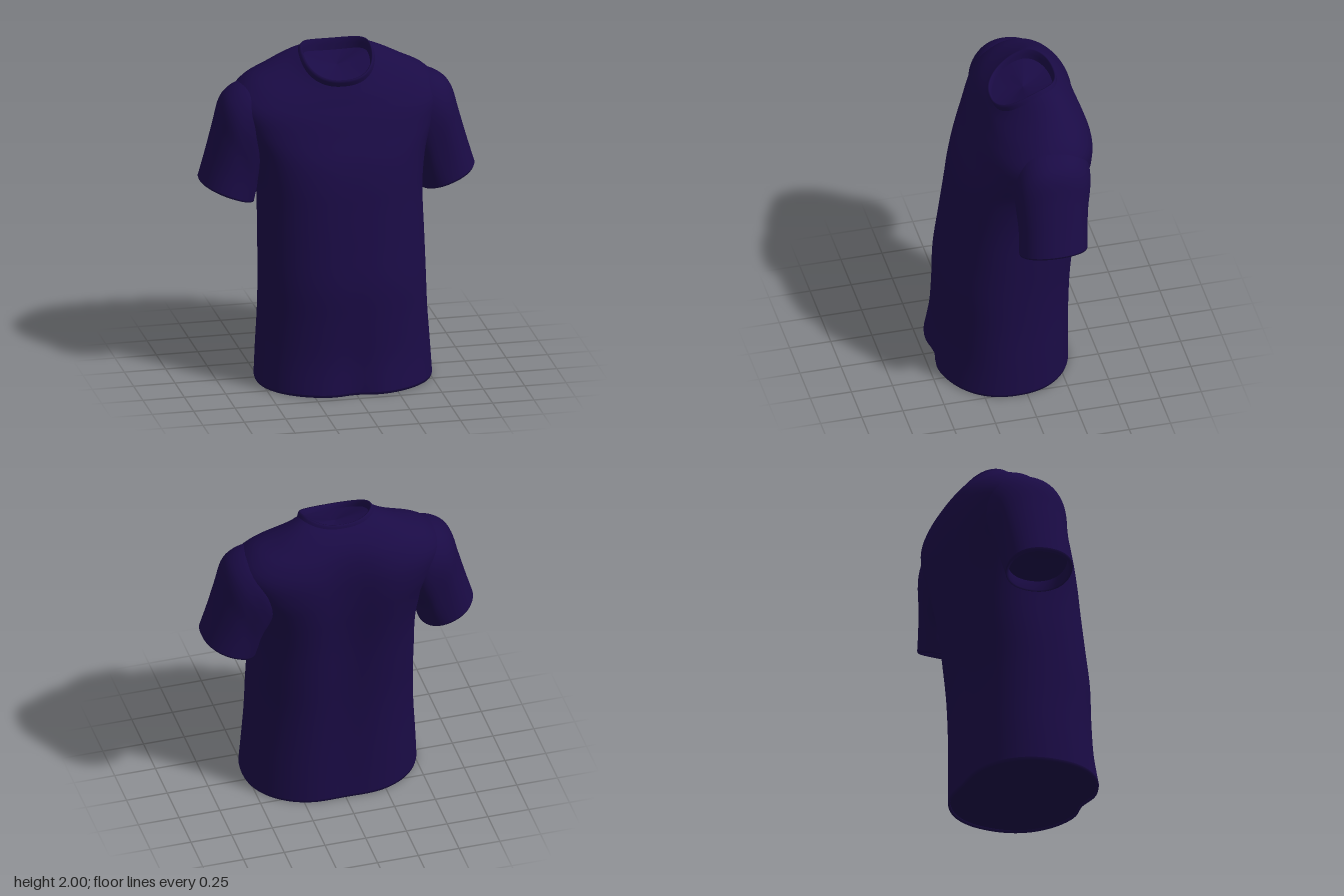
import * as THREE from 'three';

const N = 88; // points around each cross-section
const material = new THREE.MeshStandardMaterial({ color: 0x1a0b45 });

// Skin a list of closed cross-sections
function loft(name, rows) {
  const pos = [], idx = [];
  rows.forEach(r => r.forEach(p => pos.push(p.x, p.y, p.z)));
  for (let i = 0; i < rows.length - 1; i++) {
    for (let j = 0; j < N; j++) {
      const k = (j + 1) % N;
      const a = i * N + j, b = i * N + k, c = a + N, d = b + N;
      idx.push(a, c, b, b, c, d);
    }
  }
  const g = new THREE.BufferGeometry();
  g.setAttribute('position', new THREE.Float32BufferAttribute(pos, 3));
  g.setIndex(idx);
  g.computeVertexNormals();
  const mesh = new THREE.Mesh(g, material);
  mesh.name = name;
  return mesh;
}

// Smoothly fill in between key sections (Catmull-Rom on every parameter)
function smooth(keys, steps) {
  const out = [], n = keys.length - 1;
  for (let i = 0; i < n; i++) {
    const [a, b, c, d] = [keys[Math.max(i - 1, 0)], keys[i], keys[i + 1], keys[Math.min(i + 2, n)]];
    for (let s = 0; s < steps; s++) {
      const t = s / steps;
      out.push(b.map((_, k) => 0.5 * (2 * b[k] + (c[k] - a[k]) * t
        + (2 * a[k] - 5 * b[k] + 4 * c[k] - d[k]) * t * t
        + (3 * b[k] - a[k] - 3 * c[k] + d[k]) * t * t * t)));
    }
  }
  out.push(keys[n]);
  return out;
}

const ring = fn => Array.from({ length: N }, (_, j) => fn(j / N * Math.PI * 2));
const power = (v, e) => Math.sign(v) * Math.pow(Math.abs(v), e);

// Scale a section towards its middle and shift it
function inset(row, scale, dx = 0, dy = 0, dz = 0) {
  const m = row.reduce((s, p) => s.add(p), new THREE.Vector3()).divideScalar(N);
  return row.map(p => p.clone().sub(m).multiplyScalar(scale).add(m).add(new THREE.Vector3(dx, dy, dz)));
}

// Torso section: half width, side y, side z, front z, front y, back z, back y, back groove.
// Squarer at the shoulders, front dip fading up from the hem, neckline rising behind the side
function torsoRing([w, ys, zs, zf, yf, zb, yb, groove = 0]) {
  const step = THREE.MathUtils.smoothstep;
  const e = 0.9 - 0.15 * step(ys, 0.6, 1.6) + 0.1 * step(ys, 1.75, 1.96);
  const neck = step(ys, 1.85, 1.95), dip = 0.037 * Math.exp(-3.5 * ys);
  return ring(t => {
    const x = w * power(Math.cos(t), e), k = power(Math.sin(t), e), m = Math.abs(k);
    const front = k > 0;
    const dent = front ? dip * Math.exp(-((x / 0.11) ** 2)) : groove * Math.exp(-((x / 0.18) ** 2));
    const rise = front ? 0 : 0.083 * neck * m * (1 - m);
    const y = ys + Math.pow(m, 1.5 - 0.35 * neck) * ((front ? yf : yb) - ys) + rise;
    return new THREE.Vector3(x, y, zs + k * ((front ? zf - zs : zs - zb) - dent));
  });
}

// Sleeve section: outer x, y, inner x, y, front z, back z, fold depth
const sleeveRing = ([ox, oy, ix, iy, zf, zb, fold]) => ring(t => {
  const c = power(Math.cos(t), 0.92), s = -power(Math.sin(t), 0.92);
  const f = 1 + fold * Math.cos(6 * t) * (1 - c) / 2;
  return new THREE.Vector3((ox + ix) / 2 + (ox - ix) / 2 * c * f,
    (oy + iy) / 2 + (oy - iy) / 2 * c * f, (zf + zb) / 2 + (zf - zb) / 2 * s * f);
});

export function createModel() {
  const shirt = new THREE.Group();
  shirt.name = 'shirt';

  // Body from hem to neckline
  const torso = smooth([
    [0.527, 0.015, 0.06, 0.472, 0.015, -0.358, 0.015, 0.025],
    [0.517, 0.20, 0.05, 0.438, 0.20, -0.358, 0.20, 0.028],
    [0.503, 0.42, 0.04, 0.426, 0.42, -0.362, 0.42, 0.032],
    [0.496, 0.65, 0.03, 0.419, 0.65, -0.374, 0.65, 0.038],
    [0.492, 0.88, 0.00, 0.385, 0.88, -0.394, 0.88, 0.044],
    [0.487, 1.10, -0.03, 0.350, 1.10, -0.416, 1.10, 0.050],
    [0.496, 1.26, -0.06, 0.325, 1.25, -0.437, 1.26, 0.054],
    [0.525, 1.42, -0.10, 0.288, 1.39, -0.458, 1.41, 0.056],
    [0.585, 1.58, -0.14, 0.230, 1.52, -0.470, 1.55, 0.056],
    [0.615, 1.72, -0.16, 0.180, 1.63, -0.464, 1.68, 0.044],
    [0.535, 1.822, -0.17, 0.142, 1.70, -0.432, 1.79, 0.022],
    [0.400, 1.888, -0.165, 0.117, 1.748, -0.388, 1.87, 0.006],
    [0.290, 1.932, -0.140, 0.097, 1.782, -0.335, 1.932, 0],
    [0.226, 1.955, -0.115, 0.082, 1.808, -0.298, 1.960, 0],
  ], 5).map(torsoRing);
  shirt.add(loft('torso', torso));

  // Turned hem and closed underside
  const hem = inset(torso[0], 0.993, 0, -0.015);
  const hemInner = inset(hem, 0.97, 0, 0.012);
  shirt.add(loft('hem', [hemInner, inset(hem, 0.978), hem, torso[0]]));
  shirt.add(loft('underside', [inset(hemInner, 0), hemInner]));

  // Standing collar band with a shallow lining inside the neck
  const collar = [
    [0.226, 1.955, -0.115, 0.082, 1.808, -0.298, 1.960],
    [0.218, 1.968, -0.112, 0.096, 1.834, -0.295, 1.974],
    [0.211, 1.976, -0.110, 0.100, 1.850, -0.290, 1.983],
    [0.204, 1.974, -0.110, 0.090, 1.851, -0.283, 1.980],
    [0.199, 1.950, -0.110, 0.080, 1.838, -0.279, 1.945],
    [0.195, 1.925, -0.110, 0.074, 1.825, -0.276, 1.912],
  ].map(torsoRing);
  shirt.add(loft('collar', collar));
  const neck = collar[collar.length - 1];
  shirt.add(loft('neckLining', [neck, inset(neck, 0.6, 0, -0.01), inset(neck, 0, 0, -0.012)]));

  // Short sleeves with cuffs, mirrored
  const sleeve = smooth([
    [0.430, 1.790, 0.40, 1.47, 0.020, -0.340, 0],
    [0.550, 1.795, 0.42, 1.37, 0.066, -0.380, 0],
    [0.640, 1.757, 0.445, 1.29, 0.080, -0.378, 0.01],
    [0.696, 1.688, 0.467, 1.23, 0.080, -0.364, 0.025],
    [0.735, 1.550, 0.48, 1.18, 0.074, -0.346, 0.03],
    [0.782, 1.380, 0.49, 1.135, 0.074, -0.333, 0.015],
    [0.828, 1.225, 0.502, 1.098, 0.080, -0.325, 0],
  ], 6).map(sleeveRing);
  const end = sleeve[sleeve.length - 1];
  const lip = inset(end, 0.985, -0.002, -0.012);
  const lipInner = inset(lip, 0.92);
  const lining = inset(lipInner, 0.96, -0.02, 0.06);
  for (const side of [1, -1]) {
    const mirror = rows => side > 0 ? rows
      : rows.map(r => r.map(p => new THREE.Vector3(-p.x, p.y, p.z)).reverse());
    const name = side > 0 ? 'left' : 'right';
    shirt.add(loft(name + 'Sleeve', mirror(sleeve)));
    shirt.add(loft(name + 'Cuff', mirror([end, lip, lipInner, lining])));
    shirt.add(loft(name + 'SleeveLining', mirror([lining, inset(lining, 0, 0, 0.02)])));
  }
  return shirt;
}
